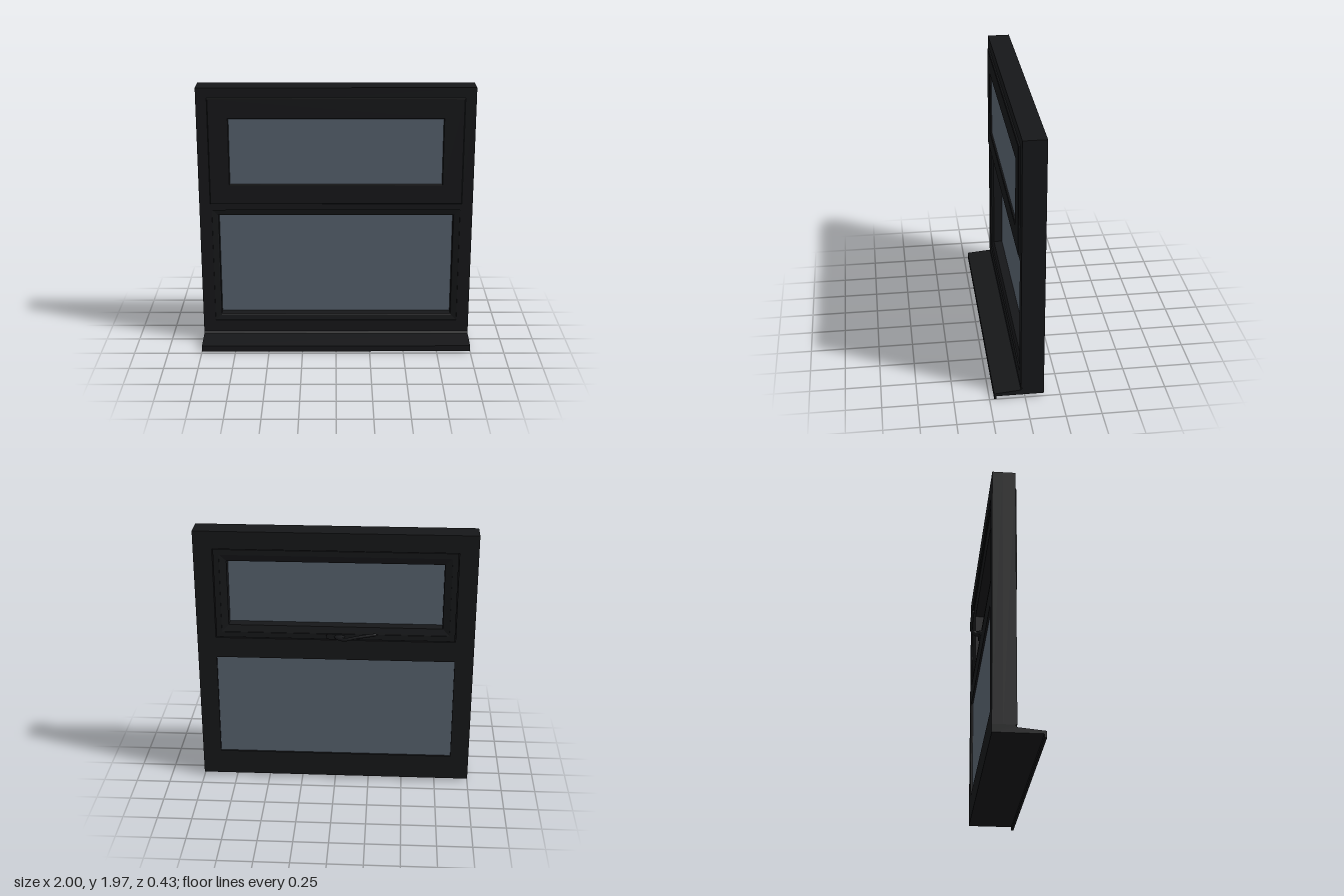
import * as THREE from 'three';

const frameMat = new THREE.MeshStandardMaterial({ color: 0x161719 });
const glassMat = new THREE.MeshStandardMaterial({ color: 0x56606c });

// Rectangles are [half width, bottom, top].
const FRAME = [1, 0.08, 1.965];
const FIXED_FRONT = [0.91, 0.17, 1.05];
const FIXED_BACK = [0.865, 0.215, 1.0];
const VENT_OPENING = [0.865, 1.155, 1.835];
const SASH = [0.92, 1.1, 1.89];

function mesh(name, geometry, material = frameMat) {
  const m = new THREE.Mesh(geometry, material);
  m.name = name;
  return m;
}

function corners([x, y0, y1]) {
  return [[-x, y0], [x, y0], [x, y1], [-x, y1]].map((p) => new THREE.Vector2(...p));
}

// Flat plate with rectangular openings, from z0 to z1
function plate(outer, holes, z0, z1) {
  const shape = new THREE.Shape(corners(outer));
  shape.holes = holes.map((h) => new THREE.Path(corners(h)));
  const g = new THREE.ExtrudeGeometry(shape, { depth: z1 - z0, bevelEnabled: false });
  return g.translate(0, 0, z0);
}

// Mitred ring: a closed counter-clockwise profile of [inset, z] swept round a rectangle
function mitredRing([x, y0, y1], profile) {
  const pos = [];
  const at = (k, i) => {
    const [d, z] = profile[i % profile.length];
    const c = corners([x - d, y0 + d, y1 - d])[k % 4];
    return [c.x, c.y, z];
  };
  for (let k = 0; k < 4; k++) {
    for (let i = 0; i < profile.length; i++) {
      const a = at(k, i), b = at(k, i + 1), c = at(k + 1, i + 1), d = at(k + 1, i);
      pos.push(...a, ...b, ...c, ...a, ...c, ...d);
    }
  }
  const g = new THREE.BufferGeometry();
  g.setAttribute('position', new THREE.Float32BufferAttribute(pos, 3));
  g.computeVertexNormals();
  return g;
}

function pane([x, y0, y1], z0, z1) {
  const g = new THREE.BoxGeometry(2 * x, y1 - y0, z1 - z0);
  return g.translate(0, (y0 + y1) / 2, (z0 + z1) / 2);
}

// Sill with a sloping top and a drip lip
function sillGeometry() {
  const section = [[-0.132, 0.025], [0.2, 0.025], [0.2, 0], [0.217, 0], [0.217, 0.045],
    [0.03, 0.063], [0.02, 0.075], [0.02, 0.08], [-0.132, 0.08]];
  const shape = new THREE.Shape(section.map((p) => new THREE.Vector2(...p)));
  const g = new THREE.ExtrudeGeometry(shape, { depth: 2, bevelEnabled: false });
  return g.rotateY(-Math.PI / 2).translate(1, 0, 0);
}

// Lever handle: oval base plate and a tapering bent arm
function createHandle() {
  const handle = new THREE.Group();
  handle.name = 'handle';

  const base = new THREE.Shape();
  base.absarc(0.045, 0, 0.02, -Math.PI / 2, Math.PI / 2);
  base.absarc(-0.045, 0, 0.02, Math.PI / 2, Math.PI * 1.5);
  const baseGeo = new THREE.ExtrudeGeometry(base, { depth: 0.014, bevelEnabled: false });
  handle.add(mesh('handleBase', baseGeo.translate(0, 1.185, -0.142)));

  const path = new THREE.CatmullRomCurve3([
    [-0.03, 1.185, -0.13], [-0.032, 1.185, -0.165], [-0.07, 1.189, -0.198],
    [-0.16, 1.212, -0.206], [-0.285, 1.235, -0.206],
  ].map((p) => new THREE.Vector3(...p)));
  const n = 32, sides = 16, r = 0.011;
  const arm = new THREE.TubeGeometry(path, n, r, sides);
  const pos = arm.attributes.position;
  const v = new THREE.Vector3();
  for (let i = 0; i <= n; i++) {
    const c = path.getPointAt(i / n);
    const swell = Math.max(0, 1 - i / n / 0.45) ** 1.3;
    for (let j = 0; j <= sides; j++) {
      const k = i * (sides + 1) + j;
      v.fromBufferAttribute(pos, k).sub(c);
      v.x *= 1 + 2.6 * swell;
      v.y *= 1 + 0.6 * swell;
      v.add(c);
      pos.setXYZ(k, v.x, v.y, v.z);
    }
  }
  arm.computeVertexNormals();
  handle.add(mesh('handleLever', arm));

  const tip = mesh('handleTip', new THREE.SphereGeometry(r, 16, 10));
  tip.position.copy(path.getPoint(1));
  handle.add(tip);
  return handle;
}

export function createModel() {
  const model = new THREE.Group();
  model.name = 'window';

  // Outer frame: narrower openings behind, a wider rebate in front of the fixed pane
  const frame = new THREE.Group();
  frame.name = 'outerFrame';
  frame.add(
    mesh('frameBack', plate(FRAME, [FIXED_BACK, VENT_OPENING], -0.132, -0.06)),
    mesh('frameFront', plate(FRAME, [FIXED_FRONT, VENT_OPENING], -0.06, 0.03)),
  );
  model.add(frame, mesh('sill', sillGeometry()));

  // Fixed lower light
  model.add(
    mesh('glazingBead', mitredRing(FIXED_FRONT,
      [[0, -0.06], [0.046, -0.06], [0.046, 0.008], [0.038, 0.013], [0, 0.02]])),
    mesh('lowerGlass', pane(FIXED_BACK, -0.117, -0.058), glassMat),
  );

  // Opening upper sash, its front lip overlapping the frame
  const sash = new THREE.Group();
  sash.name = 'upperSash';
  sash.add(
    mesh('sashFrame', mitredRing(SASH, [
      [0.06, -0.128], [0.1, -0.128], [0.1, -0.122], [0.15, -0.11], [0.15, 0.04],
      [0.145, 0.045], [0.005, 0.045], [0, 0.04], [0, 0.03], [0.06, 0.03]])),
    mesh('upperGlass', pane([0.772, 1.248, 1.742], -0.035, 0.03), glassMat),
    createHandle(),
  );
  model.add(sash);
  return model;
}
